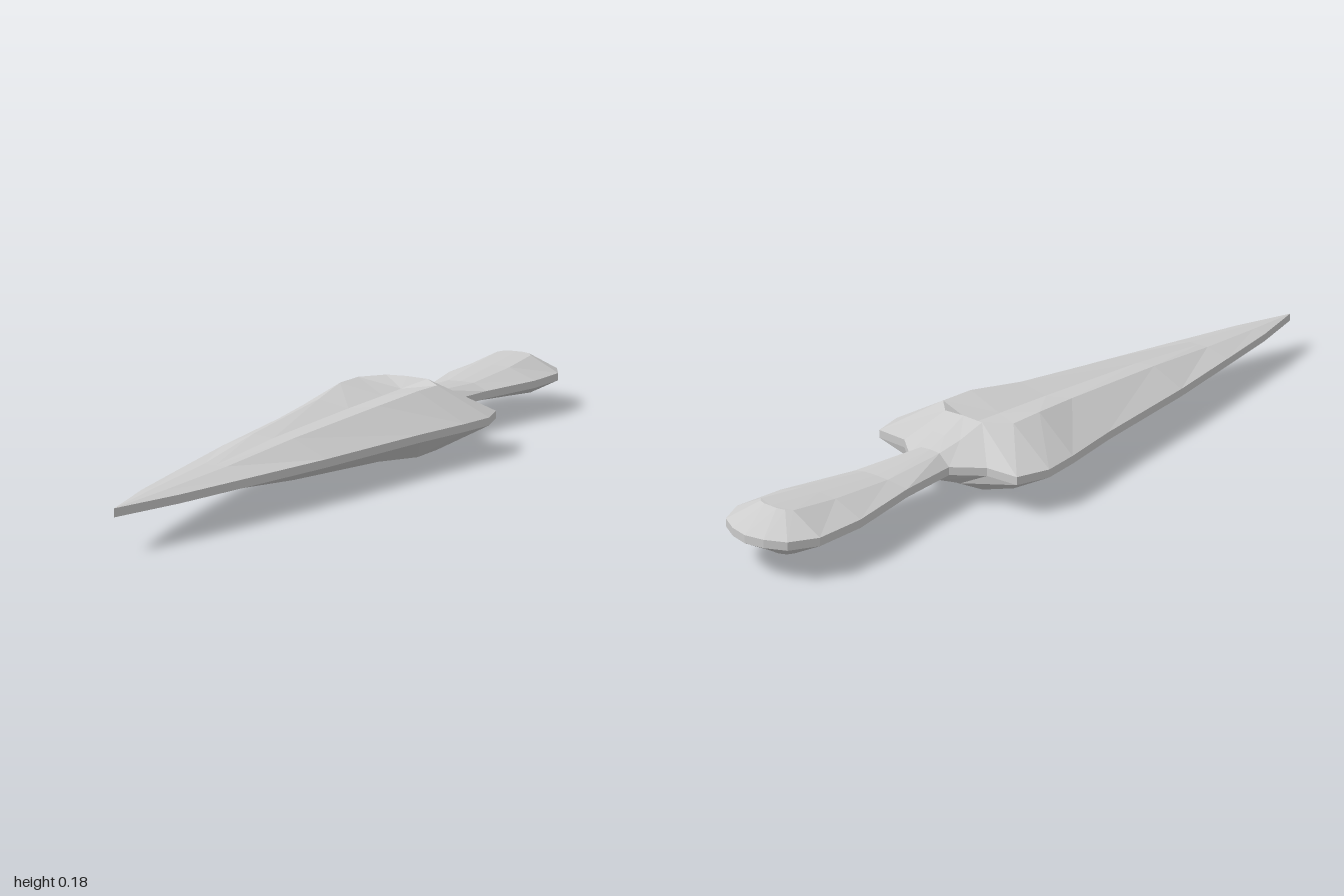
import * as THREE from 'three';

const MID = 0.09;   // height of the dagger's middle plane
const RIM = 0.01;   // half thickness of the flat cutting edge

// Each row: edge x, edge z, ridge x, ridge z, ridge height, centre z, centre height
const blade = [
  [0, 1, 0, 1, 0.01, 1, 0.01],
  [0.05, 0.82, 0.016, 0.82, 0.018, 0.82, 0.018],
  [0.095, 0.6, 0.03, 0.6, 0.028, 0.6, 0.028],
  [0.145, 0.35, 0.055, 0.35, 0.05, 0.35, 0.045],
  [0.2, 0, 0.085, 0, 0.07, 0, 0.055],
  [0.235, -0.17, 0.112, -0.15, 0.084, -0.17, 0.058],
  [0.25, -0.27, 0.115, -0.245, 0.083, -0.265, 0.06],
];
const guard = [
  blade.at(-1),
  [0.225, -0.355, 0.06, -0.295, 0.086, -0.295, 0.088],
  [0.135, -0.36, 0.045, -0.355, 0.055, -0.36, 0.057],
  [0.065, -0.415, 0.03, -0.41, 0.034, -0.41, 0.036],
];
const handle = [
  guard.at(-1),
  [0.085, -0.575, 0.038, -0.59, 0.025, -0.59, 0.026],
  [0.13, -0.77, 0.052, -0.77, 0.039, -0.77, 0.041],
];
const pommel = [
  handle.at(-1),
  [0.135, -0.9, 0.052, -0.9, 0.052, -0.92, 0.055],
  [0.1, -0.965, 0.04, -0.913, 0.054, -0.92, 0.055],
  [0.05, -0.99, 0.02, -0.92, 0.055, -0.92, 0.055],
  [0, -1, 0, -0.92, 0.055, -0.92, 0.055],
];

// Full ring of ten points, mirrored top to bottom and left to right
function ring([ex, ez, rx, rz, rh, cz, ch]) {
  const p = (x, h, z) => new THREE.Vector3(x, MID + h, z);
  return [
    p(0, ch, cz), p(rx, rh, rz), p(ex, RIM, ez), p(ex, -RIM, ez), p(rx, -rh, rz),
    p(0, -ch, cz), p(-rx, -rh, rz), p(-ex, -RIM, ez), p(-ex, RIM, ez), p(-rx, rh, rz),
  ];
}

// Faceted skin over consecutive rings, leaving out collapsed triangles
function loft(name, rows) {
  const rings = rows.map(ring);
  const pos = [];
  const tri = (a, b, c) => {
    if (new THREE.Triangle(a, b, c).getArea() < 1e-7) return;
    for (const v of [a, b, c]) pos.push(v.x, v.y, v.z);
  };
  for (let i = 0; i < rings.length - 1; i++) {
    for (let j = 0; j < 10; j++) {
      const k = (j + 1) % 10;
      const a = rings[i][j], b = rings[i][k], c = rings[i + 1][k], d = rings[i + 1][j];
      // Diagonals mirror across the centre line
      if (j < 5) { tri(a, b, c); tri(a, c, d); }
      else { tri(a, b, d); tri(b, c, d); }
    }
  }
  const geo = new THREE.BufferGeometry();
  geo.setAttribute('position', new THREE.Float32BufferAttribute(pos, 3));
  geo.computeVertexNormals();
  const mesh = new THREE.Mesh(geo, new THREE.MeshStandardMaterial({ color: 0xcccccc, flatShading: true }));
  mesh.name = name;
  return mesh;
}

export function createModel() {
  const group = new THREE.Group();
  group.name = 'dagger';
  group.add(loft('blade', blade), loft('guard', guard), loft('handle', handle), loft('pommel', pommel));
  return group;
}
